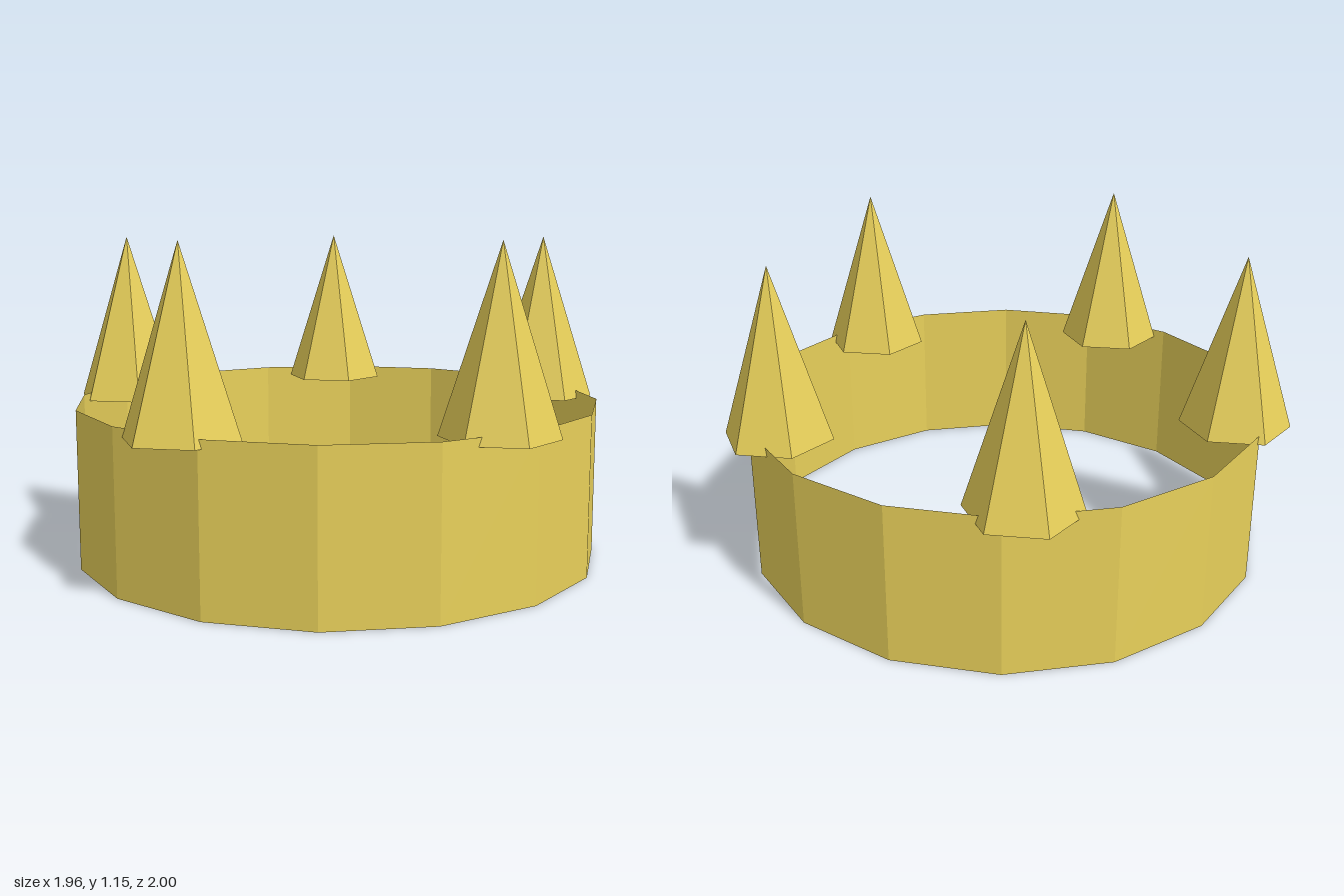
import * as THREE from 'three';

const CENTRE_X = -0.033;   // ring axis
const BAND_RADIUS = 0.95;
const BAND_HEIGHT = 0.565;
const SPIKE_RING = 0.845;  // distance of spikes from the axis
const SPIKE_BASE = 0.535;
const SPIKE_TOP = 1.15;
const SPIKE_COUNT = 5;

export function createModel() {
  const crown = new THREE.Group();
  crown.name = 'crown';

  const gold = new THREE.MeshStandardMaterial({ color: 0xe8d05a, flatShading: true });
  const goldThin = gold.clone();
  goldThin.side = THREE.DoubleSide;

  // Thin open band with 16 flat sides
  const band = new THREE.Mesh(
    new THREE.CylinderGeometry(BAND_RADIUS, BAND_RADIUS, BAND_HEIGHT, 16, 1, true),
    goldThin
  );
  band.name = 'band';
  band.position.set(CENTRE_X, BAND_HEIGHT / 2, 0);
  crown.add(band);

  // Six-sided spikes, all facing the same way, sunk slightly over the rim
  const spikeGeometry = new THREE.ConeGeometry(0.196, SPIKE_TOP - SPIKE_BASE, 6);
  for (let i = 0; i < SPIKE_COUNT; i++) {
    const angle = (i / SPIKE_COUNT) * Math.PI * 2;
    const spike = new THREE.Mesh(spikeGeometry, gold);
    spike.name = `spike${i + 1}`;
    spike.position.set(
      CENTRE_X + SPIKE_RING * Math.cos(angle),
      (SPIKE_BASE + SPIKE_TOP) / 2,
      SPIKE_RING * Math.sin(angle)
    );
    crown.add(spike);
  }

  return crown;
}
